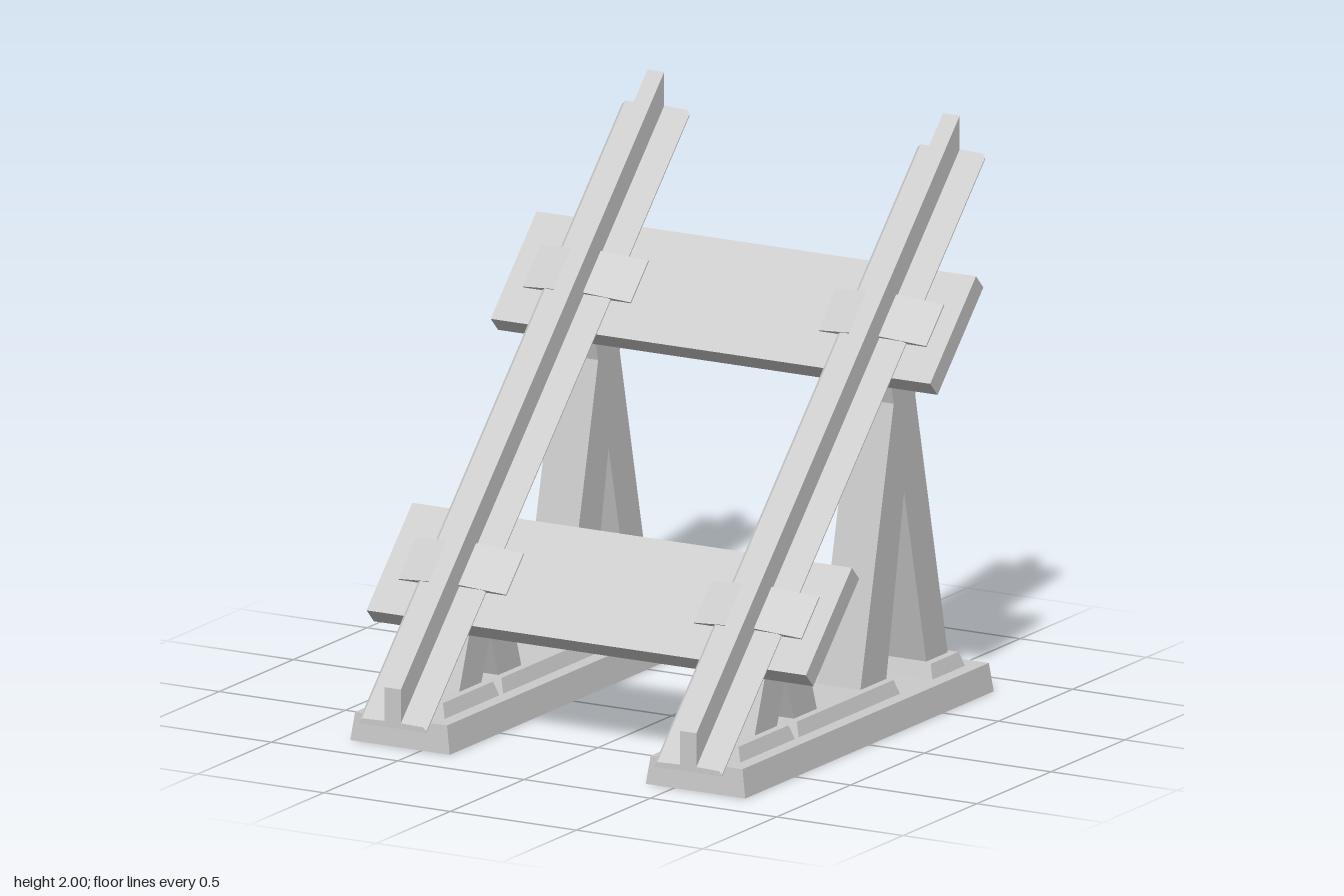
import * as THREE from 'three';

const material = new THREE.MeshStandardMaterial({ color: 0xcccccc, flatShading: true });

function part(name, geometry, parent) {
  const mesh = new THREE.Mesh(geometry, material);
  mesh.name = name;
  parent.add(mesh);
  return mesh;
}

// Extrude an outline symmetrically about z = 0
function extrude(points, depth) {
  const shape = new THREE.Shape(points.map(([x, y]) => new THREE.Vector2(x, y)));
  return new THREE.ExtrudeGeometry(shape, { depth, bevelEnabled: false }).translate(0, 0, -depth / 2);
}

// Side outline given as [z, y], extruded across x
function sidePrism(points, width) {
  return extrude(points.map(([z, y]) => [-z, y]), width).rotateY(Math.PI / 2);
}

// Mirror a half outline (right side, bottom to top) into a closed one
function mirrored(half) {
  return [...half, ...half.map(([x, y]) => [-x, y]).reverse()];
}

// Block whose top is inset from its bottom
function taperedBlock(halfX, z0, z1, y0, y1, insetX, insetZ) {
  const halfZ = Math.abs(z1 - z0) / 2;
  const geometry = new THREE.BoxGeometry(2 * halfX, y1 - y0, 2 * halfZ);
  const p = geometry.attributes.position;
  for (let i = 0; i < p.count; i++) {
    if (p.getY(i) > 0) {
      p.setX(i, p.getX(i) * (1 - insetX / halfX));
      p.setZ(i, p.getZ(i) * (1 - insetZ / halfZ));
    }
  }
  geometry.computeVertexNormals();
  return geometry.translate(0, (y0 + y1) / 2, (z0 + z1) / 2);
}

// Flanged rail at 45 degrees with upright cut ends
function railGeometry() {
  const geometry = extrude(mirrored([
    [0.134, 0], [0.134, 0.006], [0.122, 0.018], [0.033, 0.021], [0.033, 0.14],
  ]), 1.78);
  const p = geometry.attributes.position;
  for (let i = 0; i < p.count; i++) p.setY(i, p.getY(i) + 0.97 - p.getZ(i));
  geometry.computeVertexNormals();
  return geometry;
}

// Wedge plate lying over the rail flange, centred at slope position (y - z)
function clipGeometry(slope) {
  const r = Math.SQRT1_2;
  return extrude(mirrored([[0.213, 0.96 * r], [0.213, 0.976 * r], [0.033, 1.005 * r]]), 0.17)
    .translate(0, 0, -slope * r)
    .rotateX(Math.PI / 4);
}

function createSide(x, name) {
  const side = new THREE.Group();
  side.name = name;
  side.position.x = x;

  // Base beam and the pads under the legs
  part('base', taperedBlock(0.197, -0.84, 0.84, 0, 0.1, 0.015, 0.007), side);
  [['frontPad', 0.39, 0.76], ['middlePad', -0.32, 0.365], ['rearPad', -0.76, -0.54]]
    .forEach(([n, z0, z1]) => part(n, taperedBlock(0.13, z0, z1, 0.1, 0.15, 0.016, 0.016), side));

  // Forked supports
  part('frontSupport', sidePrism([
    [0.585, 0.15], [0.505, 0.37], [0.27, 0.605], [0.295, 0.52],
    [0.165, 0.15], [0.32, 0.15], [0.375, 0.3], [0.435, 0.15],
  ], 0.17), side);
  part('rearSupport', sidePrism([
    [-0.13, 0.15], [-0.355, 1.11], [-0.33, 1.205], [-0.58, 1.455], [-0.5, 1.11],
    [-0.72, 0.15], [-0.575, 0.15], [-0.425, 0.785], [-0.305, 0.15],
  ], 0.17), side);

  part('rail', railGeometry(), side);
  part('lowerClip', clipGeometry(0.12), side);
  part('upperClip', clipGeometry(1.805), side);
  return side;
}

export function createModel() {
  const model = new THREE.Group();
  model.name = 'inclinedTrack';
  model.add(createSide(0.585, 'leftSide'), createSide(-0.585, 'rightSide'));

  // Cross planks
  part('lowerPlank', sidePrism([[0.58, 0.388], [0.53, 0.338], [0.22, 0.648], [0.27, 0.698]], 1.74), model);
  part('upperPlank', sidePrism([[-0.26, 1.228], [-0.31, 1.178], [-0.62, 1.488], [-0.57, 1.538]], 1.74), model);
  return model;
}
